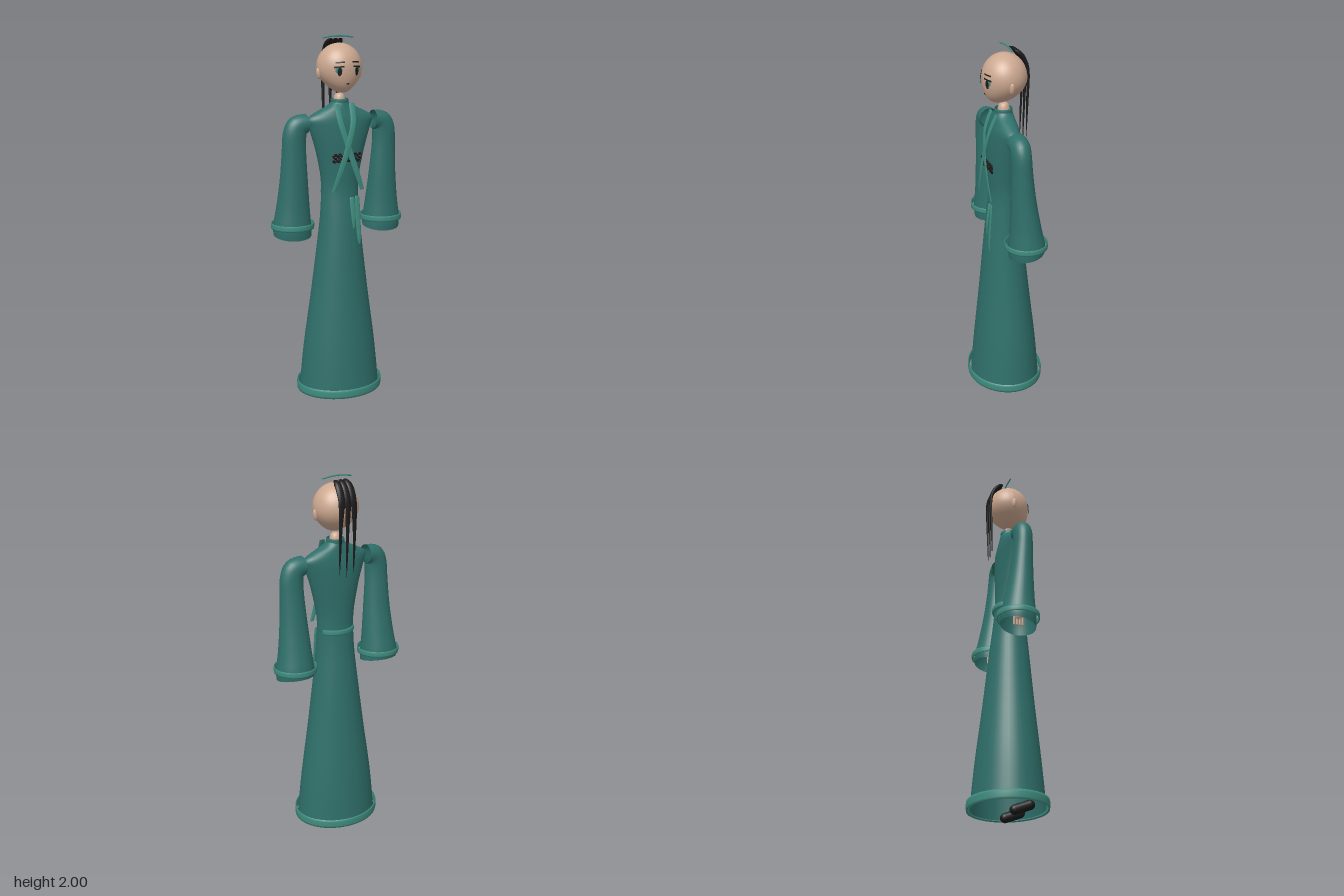
import * as THREE from 'three';

const D = THREE.DoubleSide;
const mat = (name, color, side = THREE.FrontSide) => {
  const m = new THREE.MeshStandardMaterial({ color, side });
  m.name = name;
  return m;
};

// Smooth a list of number rows by Catmull-Rom interpolation
function smooth(rows, steps) {
  const out = [];
  const at = i => rows[Math.min(Math.max(i, 0), rows.length - 1)];
  for (let i = 0; i < rows.length - 1; i++)
    for (let s = 0; s < steps; s++) {
      const t = s / steps;
      out.push(rows[i].map((b, k) => {
        const a = at(i - 1)[k], c = at(i + 1)[k], d = at(i + 2)[k];
        return b + 0.5 * t * (c - a + t * (2 * a - 5 * b + 4 * c - d + t * (3 * (b - c) + d - a)));
      }));
    }
  out.push(rows[rows.length - 1]);
  return out;
}

// Skin through elliptical rings, bottom to top: [x, y, z, rx, rz, tiltX, tiltZ]
function loft(rows, sides = 32, steps = 4) {
  const rings = smooth(rows, steps), pos = [], idx = [];
  const v = new THREE.Vector3(), e = new THREE.Euler();
  rings.forEach(([x, y, z, rx, rz, tx = 0, tz = 0], i) => {
    e.set(tx, 0, tz);
    for (let j = 0; j < sides; j++) {
      const t = (j / sides) * Math.PI * 2;
      v.set(rx * Math.cos(t), 0, rz * Math.sin(t)).applyEuler(e);
      pos.push(v.x + x, v.y + y, v.z + z);
      if (i === rings.length - 1) continue;
      const a = i * sides + j, b = i * sides + (j + 1) % sides;
      idx.push(a, a + sides, b, b, a + sides, b + sides);
    }
  });
  const g = new THREE.BufferGeometry();
  g.setAttribute('position', new THREE.Float32BufferAttribute(pos, 3));
  g.setIndex(idx);
  g.computeVertexNormals();
  return g;
}

// Thin upright hoop with a rounded outer face
function hoop(x, y, z, rx, rz, h, w) {
  const profile = [[-w, -.8], [-.2 * w, -1], [0, -.5], [0, .5], [-.2 * w, 1], [-w, .8], [-w, -.8]];
  return loft(profile.map(([d, u]) => [x, y + u * h / 2, z, rx + d, rz + d]), 48, 1);
}

// Head shape: rounded skull with a narrow chin set forward
const HEAD_Y = 1.835;
const jaw = u => (u < 0 ? u * u : 0);
function faceZ(x, y) {
  const u = (y - HEAD_Y) / (y > HEAD_Y ? .125 : .132);
  const xs = x / (.122 * (1 - .28 * jaw(u)));
  return .117 * Math.sqrt(Math.max(0, 1 - u * u - xs * xs)) + .03 * jaw(u);
}
function headGeometry() {
  const g = new THREE.SphereGeometry(1, 40, 32), p = g.attributes.position;
  for (let i = 0; i < p.count; i++) {
    const u = p.getY(i);
    p.setXYZ(i, p.getX(i) * .122 * (1 - .28 * jaw(u)), HEAD_Y + u * (u > 0 ? .125 : .132),
      p.getZ(i) * .117 + .03 * jaw(u));
  }
  g.computeVertexNormals();
  return g;
}

// Flat face detail draped over the head
function decal(x, y, w, h, round, lift, slope = 0) {
  const g = round ? new THREE.CircleGeometry(.5, 20) : new THREE.PlaneGeometry(1, 1, 6, 1);
  const p = g.attributes.position;
  for (let i = 0; i < p.count; i++) {
    const px = x + p.getX(i) * w, py = y + p.getY(i) * h + slope * p.getX(i) * w;
    p.setXYZ(i, px, py, faceZ(px, py) + lift);
  }
  g.computeVertexNormals();
  return g;
}

export function createModel() {
  const model = new THREE.Group();
  const robe = mat('robe teal', 0x2f6f6a, D);
  const trim = mat('trim teal', 0x3f8c7f, D);
  const skin = mat('skin', 0xcca890);
  const black = mat('black', 0x1c1a1b, D);
  const add = (name, geo, m, parent = model) => {
    const mesh = new THREE.Mesh(geo, m);
    mesh.name = name;
    parent.add(mesh);
    return mesh;
  };
  const ball = (name, m, c, s, parent) => {
    const b = add(name, new THREE.SphereGeometry(1, 16, 12), m, parent);
    b.position.set(...c);
    b.scale.set(...s);
    return b;
  };

  // Robe body, open at the hem: y, rx, rz, z
  const body = [
    [.05, .23, .192, 0], [.3, .205, .17, 0], [.6, .163, .138, .003], [.9, .125, .109, .006],
    [1.05, .11, .092, .008], [1.18, .105, .078, .006], [1.28, .113, .077, .008], [1.42, .146, .078, .01],
    [1.52, .178, .073, .01], [1.57, .19, .066, .01], [1.605, .135, .058, .008], [1.64, .06, .05, .006],
    [1.67, .042, .042, .005]];
  add('robe', loft(body.map(([y, rx, rz, z]) => [0, y, z, rx, rz]), 40), robe);
  add('hemTrim', hoop(0, .067, 0, .244, .211, .05, .009), trim);
  add('belt', hoop(0, 1.17, -.008, .1, .078, .03, .012), trim);
  add('collar', hoop(0, 1.655, .005, .048, .048, .03, .008), robe);

  // Crossed lapels
  for (const s of [1, -1]) {
    const path = [[-.085, 1.19, .11], [-.045, 1.3, .116], [0, 1.43, .113], [.035, 1.55, .098], [.043, 1.65, .06]];
    add('lapel', loft(path.map(([x, y, z], i) =>
      [x * s, y, z + s * .002, i ? .017 : .012, .003]), 10), trim);
  }

  // Knotted chest ornament
  const knot = new THREE.Group();
  knot.name = 'chestOrnament';
  model.add(knot);
  for (const y of [1.352, 1.378]) {
    const bar = add('cord', new THREE.CylinderGeometry(.004, .004, .15, 8), black, knot);
    bar.rotation.z = Math.PI / 2;
    bar.position.set(0, y, .097);
  }
  for (const x of [-.07, -.045, -.015, .015, .045, .07])
    for (const y of [1.354, 1.378]) {
      const loop = add('loop', new THREE.TorusGeometry(.01, .004, 8, 16), black, knot);
      loop.position.set(x, y, .097);
      loop.scale.x = 1.2;
    }

  // Hanging sash tails
  for (const [x0, x1, y0] of [[.03, .035, .98], [.06, .07, .89]])
    add('sashTail', loft([[x1, y0, .112, .006, .003], [(x0 + x1) / 2, y0 + .06, .112, .013, .003],
      [x0, 1.14, .098, .014, .004], [x0, 1.145, .095, .004, .002]], 10), trim);

  for (const s of [1, -1]) {
    // Wide sleeve curving down from the shoulder
    add('sleeve', loft([
      [.268 * s, .95, -.022, .104, .095, .18, 0], [.27 * s, 1.0, -.021, .104, .096, .1, 0],
      [.267 * s, 1.1, -.015, .091, .082, 0, 0], [.265 * s, 1.25, -.003, .076, .066, 0, 0],
      [.266 * s, 1.4, .006, .066, .055, 0, .02 * s], [.263 * s, 1.49, .01, .064, .052, 0, .2 * s],
      [.243 * s, 1.537, .01, .06, .052, 0, .8 * s], [.197 * s, 1.55, .01, .05, .052, 0, 1.5 * s]], 32), robe);
    add('cuffTrim', hoop(.267 * s, 1.003, -.02, .117, .114, .032, .007), trim);

    // Hand inside the cuff
    const hand = new THREE.Group();
    hand.name = 'hand';
    model.add(hand);
    ball('palm', skin, [.267 * s, 1.02, -.02], [.014, .032, .028], hand);
    for (let i = 0; i < 4; i++) {
      const f = add('finger', new THREE.CapsuleGeometry(.006, .04, 4, 8), skin, hand);
      f.position.set(.267 * s, .98, -.042 + i * .015);
    }

    // Shoe, toe lowered
    const shoe = add('shoe', new THREE.CapsuleGeometry(.026, .085, 6, 14), black);
    shoe.rotation.x = Math.PI / 2 - .36;
    shoe.position.set(.088 * s, .043, .05);

    // Ear
    ball('ear', skin, [.122 * s, 1.805, .004], [.011, .03, .014]).rotation.z = -.15 * s;

    // Brow, lash, eye and iris
    add('brow', decal(.044 * s, 1.866, .046, .007, false, .003, -.06 * s), black);
    add('lash', decal(.05 * s, 1.843, .05, .008, false, .004, -.1 * s), black);
    add('iris', decal(.052 * s, 1.826, .034, .036, true, .003), trim);
    add('pupil', decal(.049 * s, 1.818, .021, .044, true, .005), black);
  }

  // Head and neck
  add('head', headGeometry(), skin);
  add('neck', loft([[0, 1.64, .003, .034, .034], [0, 1.675, .003, .03, .03],
    [0, 1.695, .003, .02, .02], [0, 1.702, .003, .001, .001]], 20), skin);
  add('mouth', decal(0, 1.755, .02, .007, true, .003), black);

  // Three tapering locks falling from the crown down the back
  for (const k of [-1, 0, 1]) {
    const tip = k ? 1.5 : 1.48;
    add('hairLock', loft([
      [k * .043, tip, -.105, .001, .001, 0], [k * .043, 1.62, -.108, .007, .004, 0],
      [k * .042, 1.75, -.112, .011, .006, 0], [k * .038, 1.83, -.114, .016, .008, .1],
      [k * .034, 1.89, -.108, .02, .01, .3], [k * .032, 1.94, -.085, .021, .012, .7],
      [k * .03, 1.965, -.06, .019, .012, 1], [k * .028, 1.978, -.04, .01, .004, 1.1]], 14), black);
  }

  // Slender curved hairpin above the crown
  const pin = new THREE.CatmullRomCurve3([[-.088, 1.987], [-.04, 1.994], [0, 1.996], [.04, 1.994], [.088, 1.987]]
    .map(([x, y]) => new THREE.Vector3(x, y, -.01)));
  add('hairpin', new THREE.TubeGeometry(pin, 24, .004, 8), trim);

  return model;
}
